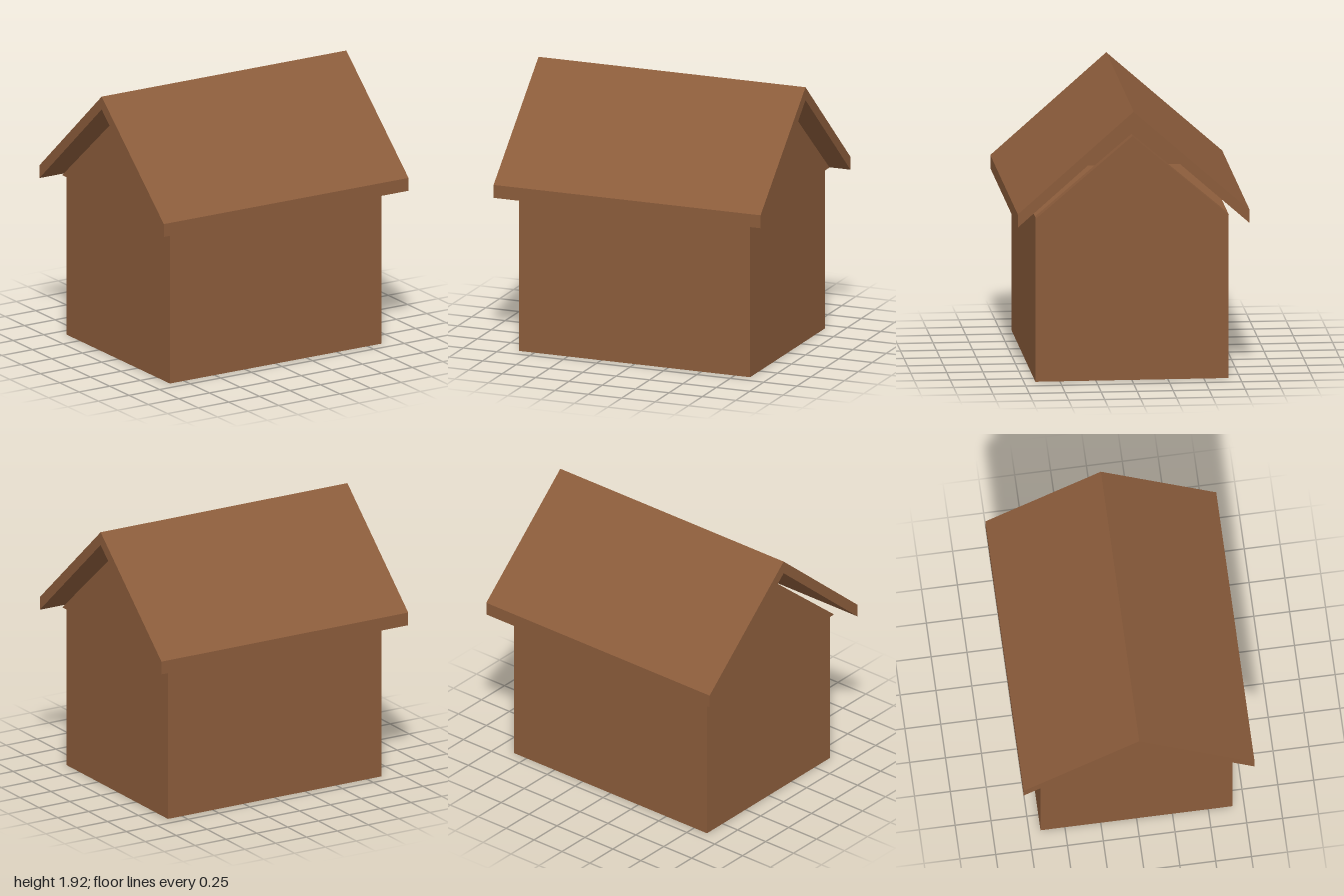
import * as THREE from 'three';

// Extrudes a [z, y] profile along x, centred on x = 0
function extrudeAlongX(points, length) {
  const shape = new THREE.Shape(points.map(([z, y]) => new THREE.Vector2(z, y)));
  const geometry = new THREE.ExtrudeGeometry(shape, { depth: length, bevelEnabled: false });
  return geometry.translate(0, 0, -length / 2).rotateY(Math.PI / 2);
}

export function createModel() {
  const group = new THREE.Group();
  const wood = new THREE.MeshStandardMaterial({ color: 0x8b5c3b });
  wood.name = 'brown wood';

  const add = (name, geometry, x = 0, y = 0) => {
    const mesh = new THREE.Mesh(geometry, wood);
    mesh.name = name;
    mesh.position.set(x, y, 0);
    group.add(mesh);
  };

  const wallTop = 1.16;
  const halfWidth = 0.865;
  const halfDepth = 0.67;

  // Closed box of walls
  add('walls', new THREE.BoxGeometry(halfWidth * 2, wallTop, halfDepth * 2), 0, wallTop / 2);

  // Thin triangular gables, standing slightly proud of both end walls
  const gable = [[-halfDepth, wallTop], [halfDepth, wallTop], [0, 1.73]];
  for (const side of [1, -1]) {
    add(side > 0 ? 'leftGable' : 'rightGable', extrudeAlongX(gable, 0.07), side * halfWidth);
  }

  // Pitched roof floating just above the gables
  const roof = [
    [-0.805, 1.12], [0, 1.83], [0.805, 1.12],
    [0.805, 1.213], [0, 1.923], [-0.805, 1.213],
  ];
  add('roof', extrudeAlongX(roof, 2));

  return group;
}
